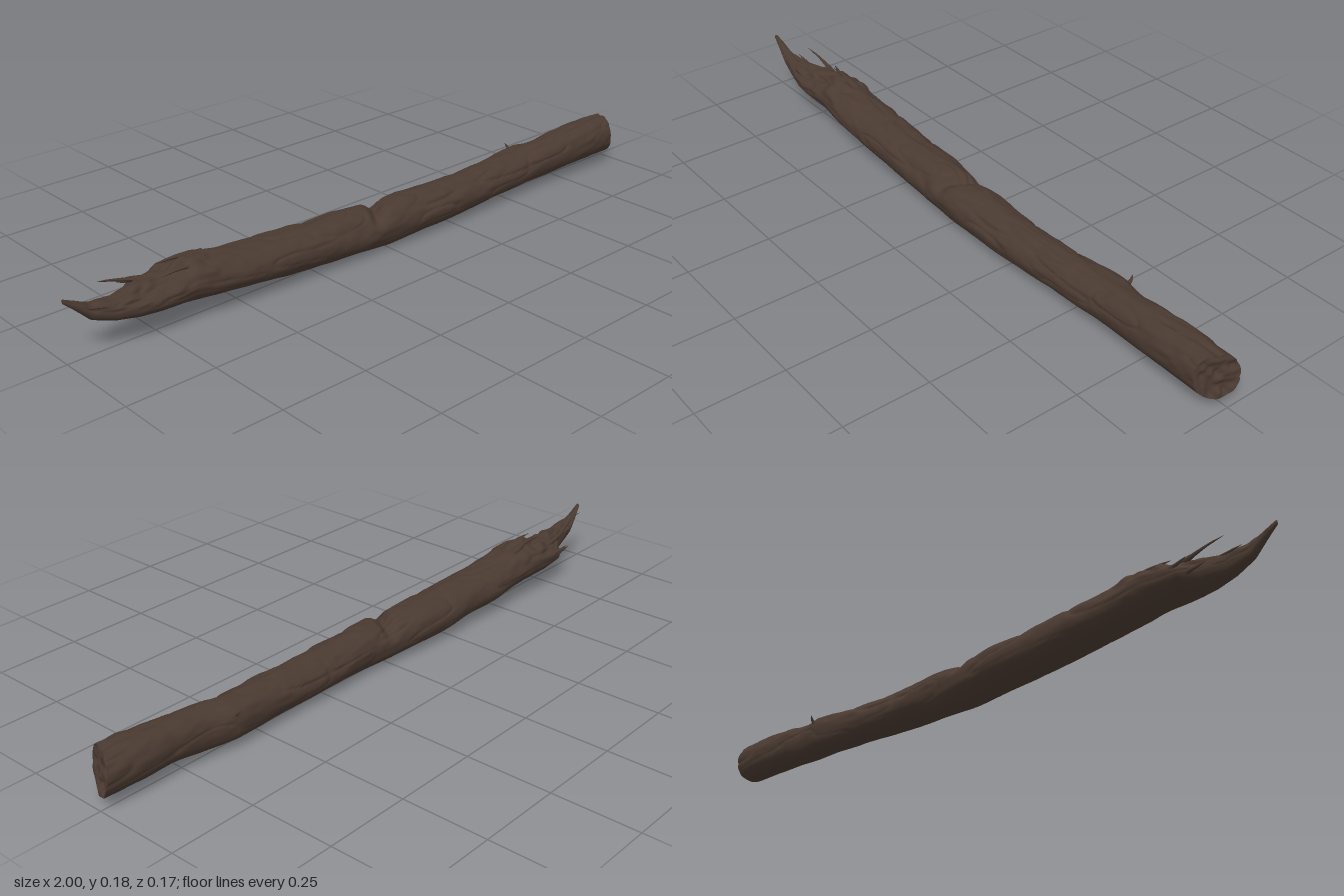
import * as THREE from 'three';

// Log outline along its length: x, bottom, top, back z, front z
const STATIONS = [
  [-1.0, 0.176, 0.188, 0.004, 0.014], [-0.97, 0.148, 0.172, -0.006, 0.018],
  [-0.93, 0.108, 0.152, -0.015, 0.024], [-0.87, 0.086, 0.143, -0.026, 0.036],
  [-0.81, 0.076, 0.147, -0.045, 0.050], [-0.77, 0.070, 0.150, -0.080, 0.055],
  [-0.70, 0.060, 0.160, -0.085, 0.060], [-0.65, 0.055, 0.176, -0.084, 0.062],
  [-0.60, 0.050, 0.168, -0.082, 0.064], [-0.50, 0.042, 0.156, -0.080, 0.066],
  [-0.35, 0.030, 0.147, -0.077, 0.068], [-0.14, 0.016, 0.143, -0.070, 0.070],
  [0.0, 0.010, 0.138, -0.055, 0.080], [0.10, 0.014, 0.141, -0.050, 0.082],
  [0.20, 0.018, 0.132, -0.050, 0.080], [0.35, 0.020, 0.131, -0.051, 0.074],
  [0.50, 0.022, 0.136, -0.056, 0.068], [0.60, 0.027, 0.143, -0.060, 0.064],
  [0.68, 0.031, 0.147, -0.046, 0.066], [0.80, 0.035, 0.156, -0.040, 0.072],
  [0.90, 0.038, 0.165, -0.037, 0.076], [0.975, 0.040, 0.163, -0.035, 0.076],
];
const ROWS = 360, SIDES = 96, CAP = 14;

function outlineAt(x) {
  let i = 0;
  while (i < STATIONS.length - 2 && STATIONS[i + 1][0] < x) i++;
  const a = STATIONS[i], b = STATIONS[i + 1];
  const t = (x - a[0]) / (b[0] - a[0]);
  return a.map((v, k) => THREE.MathUtils.lerp(v, b[k], t));
}

// Repeatable smooth noise in 0..1, wrapping in v after `wrap` cells
function hash(i, j) {
  const s = Math.sin(i * 127.1 + j * 311.7) * 43758.5453;
  return s - Math.floor(s);
}
function noise(u, v, wrap) {
  const i = Math.floor(u), j = Math.floor(v);
  const s = THREE.MathUtils.smoothstep(u - i, 0, 1), t = THREE.MathUtils.smoothstep(v - j, 0, 1);
  const h = (p, q) => hash(p, ((q % wrap) + wrap) % wrap);
  const { lerp } = THREE.MathUtils;
  return lerp(lerp(h(i, j), h(i + 1, j), s), lerp(h(i, j + 1), h(i + 1, j + 1), s), t);
}
const bump = (d, w) => Math.exp(-(d * d) / (w * w));

// One point of the bark; angle 0 is the top, a quarter turn is the front
function barkPoint(x, angle) {
  const [, bottom, top, back, front] = outlineAt(x);
  const up = Math.cos(angle), side = Math.sin(angle), turn = angle / (Math.PI * 2);
  const ry = (top - bottom) / 2, rz = (front - back) / 2;
  const size = Math.min(1, Math.min(ry, rz) / 0.05);
  const rough = 0.25 + 0.75 * THREE.MathUtils.smoothstep(up, -0.5, 0.4);
  const torn = THREE.MathUtils.smoothstep(-x, 0.45, 0.7) * Math.max(0, up + 0.2);
  const drift = turn + 0.03 * Math.sin(x * 7);

  // long swells, fine grain and thin cracks
  let d = 0.008 * (noise(x * 9, drift * 7, 7) - 0.5);
  d += rough * 0.004 * (noise(x * 28, drift * 26, 26) - 0.5);
  const crack = 1 - Math.abs(2 * noise(x * 6 + 40, drift * 14, 14) - 1);
  d -= rough * 0.005 * Math.pow(crack, 8);
  d += torn * 0.02 * (noise(x * 30 + 90, drift * 22, 22) - 0.5);
  // split across the top near the middle
  const splitX = -0.02 - 0.03 * side;
  d -= 0.024 * bump(x - splitX, 0.022) * THREE.MathUtils.smoothstep(up, 0.1, 0.95);
  d *= size;

  const y = (top + bottom) / 2 + up * (ry + d);
  const z = (front + back) / 2 + side * (rz + d);
  // slanted cut at the right end
  const cut = THREE.MathUtils.smoothstep(x, 0.86, 0.97);
  const px = x + cut * (-0.4 * (z - 0.02) - 0.13 * (y - 0.1) + 0.006 * (noise(3, turn * 16, 16) - 0.5));
  return new THREE.Vector3(px, y, z);
}

// Closed rings of points joined into a smooth skin
function loft(rings) {
  const positions = [], index = [], n = rings[0].length;
  rings.forEach((ring) => ring.forEach((p) => positions.push(p.x, p.y, p.z)));
  for (let i = 0; i < rings.length - 1; i++) {
    for (let j = 0; j < n; j++) {
      const k = (j + 1) % n, a = i * n, b = a + n;
      index.push(a + j, a + k, b + j, a + k, b + k, b + j);
    }
  }
  const g = new THREE.BufferGeometry();
  g.setAttribute('position', new THREE.Float32BufferAttribute(positions, 3));
  g.setIndex(index);
  g.computeVertexNormals();
  return g;
}

function ringAt(x) {
  return Array.from({ length: SIDES }, (_, j) => barkPoint(x, (j / SIDES) * Math.PI * 2));
}
function centreOf(ring) {
  return ring.reduce((c, p) => c.add(p), new THREE.Vector3()).divideScalar(ring.length);
}

// Bent sliver of wood that tapers to a point
function splinterGeometry(points, radius) {
  const curve = new THREE.CatmullRomCurve3(points.map((p) => new THREE.Vector3(...p)));
  const rows = 10, sides = 7;
  const g = new THREE.TubeGeometry(curve, rows, radius, sides);
  const pos = g.attributes.position, v = new THREE.Vector3();
  for (let i = 0; i < pos.count; i++) {
    const row = Math.floor(i / (sides + 1)), t = row / rows;
    const c = curve.getPointAt(t);
    const taper = (1 - t * 0.95) * (0.85 + 0.3 * hash(row, 5));
    v.fromBufferAttribute(pos, i).sub(c).multiplyScalar(taper).add(c);
    pos.setXYZ(i, v.x, v.y, v.z);
  }
  g.computeVertexNormals();
  return g;
}

export function createModel() {
  const group = new THREE.Group();
  group.name = 'fallenLog';
  const bark = new THREE.MeshStandardMaterial({ color: 0x4a3a31 });
  bark.name = 'dark bark';
  const add = (name, geometry) => {
    const mesh = new THREE.Mesh(geometry, bark);
    mesh.name = name;
    group.add(mesh);
  };

  // Trunk, closed to a point at the torn end
  const rings = [];
  for (let i = 0; i <= ROWS; i++) rings.push(ringAt(-1 + (1.975 * i) / ROWS));
  const tip = centreOf(rings[0]);
  add('trunk', loft([rings[0].map(() => tip.clone()), ...rings]));

  // Lumpy broken face at the right end
  const rim = rings[ROWS], middle = centreOf(rim), face = [];
  for (let i = 0; i <= CAP; i++) {
    const t = i / CAP;
    face.push(rim.map((p) => {
      const q = p.clone().lerp(middle, t);
      const fade = Math.min(1, t * 5);
      q.x += fade * (0.014 * (noise(q.y * 55, q.z * 55 + 20, 400) - 0.5) - 0.003);
      return q;
    }));
  }
  add('brokenEnd', loft(face));

  // Slivers standing off the torn end
  const splinters = [
    [[[-0.74, 0.135, -0.045], [-0.80, 0.150, -0.048], [-0.84, 0.163, -0.045], [-0.88, 0.176, -0.036]], 0.010],
    [[[-0.72, 0.115, -0.070], [-0.77, 0.122, -0.080], [-0.80, 0.130, -0.084]], 0.012],
    [[[-0.74, 0.095, -0.055], [-0.79, 0.102, -0.062], [-0.84, 0.108, -0.064]], 0.014],
    [[[-0.80, 0.120, -0.020], [-0.87, 0.134, -0.022], [-0.92, 0.140, -0.024]], 0.011],
    [[[-0.84, 0.125, 0.020], [-0.90, 0.140, 0.026], [-0.95, 0.150, 0.022]], 0.009],
    [[[-0.90, 0.130, 0.005], [-0.95, 0.152, 0.004], [-0.985, 0.165, -0.008]], 0.008],
    [[[-0.58, 0.155, -0.030], [-0.65, 0.172, -0.028], [-0.72, 0.172, -0.030]], 0.014],
    [[[-0.60, 0.150, 0.015], [-0.67, 0.162, 0.018], [-0.74, 0.160, 0.022]], 0.010],
  ];
  splinters.forEach(([points, radius]) => add('splinter', splinterGeometry(points, radius)));

  // Small broken twig on the back
  add('twigStub', splinterGeometry([[0.60, 0.105, -0.035], [0.605, 0.122, -0.055], [0.60, 0.134, -0.064]], 0.012));
  return group;
}
